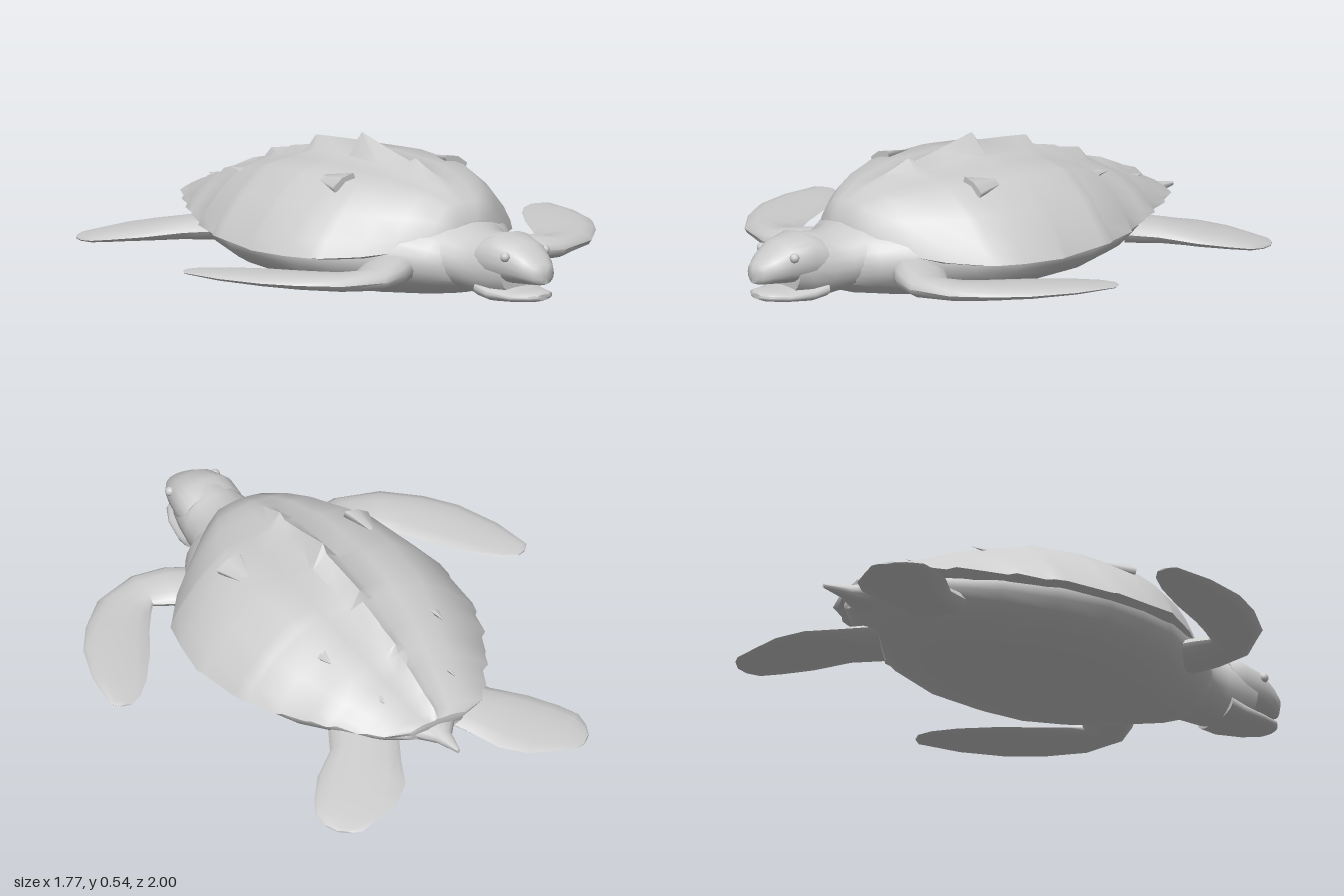
import * as THREE from 'three';
import { toCreasedNormals } from 'three/addons/utils/BufferGeometryUtils.js';

// Skins equal-length loops of [x, y, z] points, caps both ends, and faces outward.
function loft(loops, crease = 0.9) {
  const n = loops[0].length;
  const pos = loops.flat();
  const tris = [];
  for (let i = 0; i < loops.length - 1; i++) {
    for (let j = 0; j < n; j++) {
      const a = i * n + j, b = i * n + (j + 1) % n;
      tris.push([a, a + n, b], [b, a + n, b + n]);
    }
  }
  [0, loops.length - 1].forEach((row) => {
    const centre = [0, 1, 2].map((k) => loops[row].reduce((s, p) => s + p[k], 0) / n);
    const c = pos.push(centre) - 1;
    for (let j = 0; j < n; j++) {
      const a = row * n + j, b = row * n + (j + 1) % n;
      tris.push(row ? [c, b, a] : [c, a, b]);
    }
  });
  // Reverse the corners when the enclosed volume is negative
  const v = (i) => new THREE.Vector3(...pos[i]);
  const volume = tris.reduce((s, [a, b, c]) => s + v(a).dot(v(b).cross(v(c))), 0);
  if (volume < 0) tris.forEach((t) => t.reverse());
  const g = new THREE.BufferGeometry();
  g.setAttribute('position', new THREE.Float32BufferAttribute(pos.flat(), 3));
  g.setIndex(tris.flat());
  return toCreasedNormals(g, crease);
}

// Oval cross-section at depth z
function oval([z, halfWidth, bottom, top], n = 20, power = 1) {
  return Array.from({ length: n }, (_, j) => {
    const t = (j / n) * Math.PI * 2, c = Math.cos(t), s = Math.sin(t);
    const soft = (q) => Math.sign(q) * Math.abs(q) ** power;
    return [halfWidth * soft(c), (bottom + top) / 2 + (top - bottom) / 2 * soft(s), z];
  });
}

// Lens section from a leading to a trailing point [x, z]
function blade([lead, trail, y, thick], side) {
  const n = 14;
  return Array.from({ length: n }, (_, j) => {
    const t = (j / n) * Math.PI * 2, k = (1 - Math.cos(t)) / 2;
    return [
      side * (lead[0] + (trail[0] - lead[0]) * k),
      y + thick * Math.sin(t) * (1.15 - 0.5 * k),
      lead[1] + (trail[1] - lead[1]) * k,
    ];
  });
}

// Shell rows: z, half width, rim height, dome height, keel height
const SHELL = [
  [0.60, 0.09, 0.26, 0.31, 0], [0.56, 0.18, 0.23, 0.375, 0], [0.48, 0.28, 0.21, 0.41, 0.005],
  [0.40, 0.37, 0.195, 0.43, 0.015], [0.29, 0.46, 0.185, 0.445, 0.045], [0.26, 0.485, 0.185, 0.45, 0.025],
  [0.15, 0.51, 0.18, 0.455, 0.045], [0, 0.535, 0.18, 0.46, 0.08], [-0.025, 0.527, 0.18, 0.46, 0.048],
  [-0.20, 0.51, 0.19, 0.45, 0.045], [-0.25, 0.497, 0.19, 0.435, 0.055], [-0.27, 0.48, 0.19, 0.43, 0.022],
  [-0.38, 0.452, 0.2, 0.40, 0.03], [-0.40, 0.425, 0.2, 0.395, 0.025], [-0.49, 0.385, 0.21, 0.37, 0.035],
  [-0.51, 0.37, 0.215, 0.36, 0.01], [-0.57, 0.345, 0.22, 0.335, 0.02], [-0.59, 0.31, 0.22, 0.33, 0.02],
  [-0.67, 0.275, 0.225, 0.30, 0.015], [-0.69, 0.245, 0.225, 0.29, 0.015], [-0.75, 0.21, 0.235, 0.265, 0.02],
  [-0.78, 0.12, 0.235, 0.25, 0.005],
];
// Right half of the dome: share of half width, share of height
const DOME = [[1, 0], [0.93, 0.22], [0.76, 0.58], [0.53, 0.91], [0.3, 0.97], [0.11, 1]];

function shellLoop([z, w, rim, dome, keel]) {
  const half = DOME.map(([u, v]) => [u * w, rim + v * (dome - rim), z]);
  const mirrored = half.slice().reverse().map(([x, y]) => [-x, y, z]);
  const under = [[-0.85 * w, rim - 0.015, z], [0.85 * w, rim - 0.015, z]];
  return [...half, [0, dome + keel, z], ...mirrored, ...under];
}

const BELLY = [
  [0.66, 0.12, 0.07, 0.25], [0.58, 0.22, 0.045, 0.3], [0.45, 0.31, 0.022, 0.34], [0.3, 0.42, 0.008, 0.36],
  [0.15, 0.47, 0, 0.36], [0, 0.49, 0.008, 0.36], [-0.2, 0.465, 0.018, 0.34], [-0.4, 0.39, 0.045, 0.33],
  [-0.55, 0.29, 0.08, 0.31], [-0.68, 0.2, 0.13, 0.26], [-0.76, 0.12, 0.17, 0.235],
];
const NECK = [
  [0.86, 0.1, 0.075, 0.285], [0.8, 0.118, 0.053, 0.3], [0.72, 0.135, 0.052, 0.288],
  [0.65, 0.15, 0.06, 0.287], [0.58, 0.19, 0.065, 0.31], [0.45, 0.24, 0.08, 0.34],
];
const BEAK = [
  [1.0, 0.02, 0.14, 0.195], [0.985, 0.05, 0.135, 0.212], [0.95, 0.075, 0.133, 0.24],
  [0.89, 0.1, 0.128, 0.28], [0.8, 0.122, 0.12, 0.302], [0.74, 0.12, 0.12, 0.285],
];
const JAW = [
  [0.985, 0.03, 0.08, 0.1], [0.965, 0.06, 0.072, 0.108], [0.9, 0.092, 0.063, 0.105],
  [0.8, 0.115, 0.053, 0.12], [0.74, 0.12, 0.06, 0.14],
];
const TAIL = [
  [-0.66, 0.14, 0.14, 0.25], [-0.75, 0.09, 0.155, 0.235], [-0.82, 0.035, 0.17, 0.22], [-0.92, 0.006, 0.19, 0.205],
];
// Flipper rows: leading point, trailing point, height, half thickness
const FRONT_FLIPPER = [
  [[0.19, 0.52], [0.28, 0.34], 0.15, 0.06], [[0.31, 0.59], [0.38, 0.41], 0.15, 0.052],
  [[0.43, 0.62], [0.44, 0.45], 0.145, 0.04], [[0.6, 0.57], [0.48, 0.4], 0.147, 0.032],
  [[0.72, 0.46], [0.53, 0.33], 0.15, 0.028], [[0.8, 0.35], [0.61, 0.2], 0.152, 0.023],
  [[0.86, 0.19], [0.7, 0.08], 0.152, 0.016], [[0.885, 0.03], [0.77, 0.012], 0.152, 0.008],
  [[0.86, 0.0], [0.82, -0.012], 0.152, 0.003],
];
const HIND_FLIPPER = [
  [[0.28, -0.48], [0.08, -0.64], 0.135, 0.05], [[0.34, -0.59], [0.15, -0.77], 0.12, 0.04],
  [[0.45, -0.68], [0.2, -0.88], 0.105, 0.03], [[0.52, -0.77], [0.28, -0.95], 0.092, 0.022],
  [[0.56, -0.84], [0.38, -0.98], 0.082, 0.016], [[0.555, -0.9], [0.46, -1.0], 0.075, 0.009],
  [[0.535, -0.95], [0.49, -0.99], 0.072, 0.004],
];
// Raised scute tips on the flanks: x, y, z, size
const SCUTES = [[0.27, 0.425, 0.12, 1.1], [0.27, 0.405, -0.14, 1], [0.24, 0.375, -0.36, 1], [0.15, 0.305, -0.6, 0.8]];

export function createModel() {
  const turtle = new THREE.Group();
  turtle.name = 'seaTurtle';
  const grey = new THREE.MeshStandardMaterial({ color: 0xcccccc });
  grey.name = 'plain grey';
  const add = (name, geometry) => {
    const mesh = new THREE.Mesh(geometry, grey);
    mesh.name = name;
    turtle.add(mesh);
    return mesh;
  };

  // Body
  add('shell', loft(SHELL.map(shellLoop), 0.75));
  add('belly', loft(BELLY.map((r) => oval(r, 28))));
  add('tail', loft(TAIL.map((r) => oval(r, 12))));

  // Head with an open beak
  add('neck', loft(NECK.map((r) => oval(r, 20))));
  add('upperBeak', loft(BEAK.map((r) => oval(r, 20, 0.85))));
  add('lowerJaw', loft(JAW.map((r) => oval(r, 20, 0.85))));

  // Paired parts
  [['left', 1], ['right', -1]].forEach(([label, side]) => {
    add(label + 'FrontFlipper', loft(FRONT_FLIPPER.map((r) => blade(r, side))));
    add(label + 'HindFlipper', loft(HIND_FLIPPER.map((r) => blade(r, side))));
    const eye = add(label + 'Eye', new THREE.SphereGeometry(0.018, 12, 8));
    eye.position.set(side * 0.096, 0.235, 0.885);
    SCUTES.forEach(([x, y, z, size], i) => {
      const tip = new THREE.ConeGeometry(0.055, 0.16, 6);
      tip.rotateX(-Math.PI / 2);
      tip.scale(size, 0.35 * size, size);
      const scute = add(label + 'Scute' + (i + 1), tip);
      scute.position.set(side * x, y, z);
      scute.rotation.z = -side * 0.4;
    });
  });
  return turtle;
}
